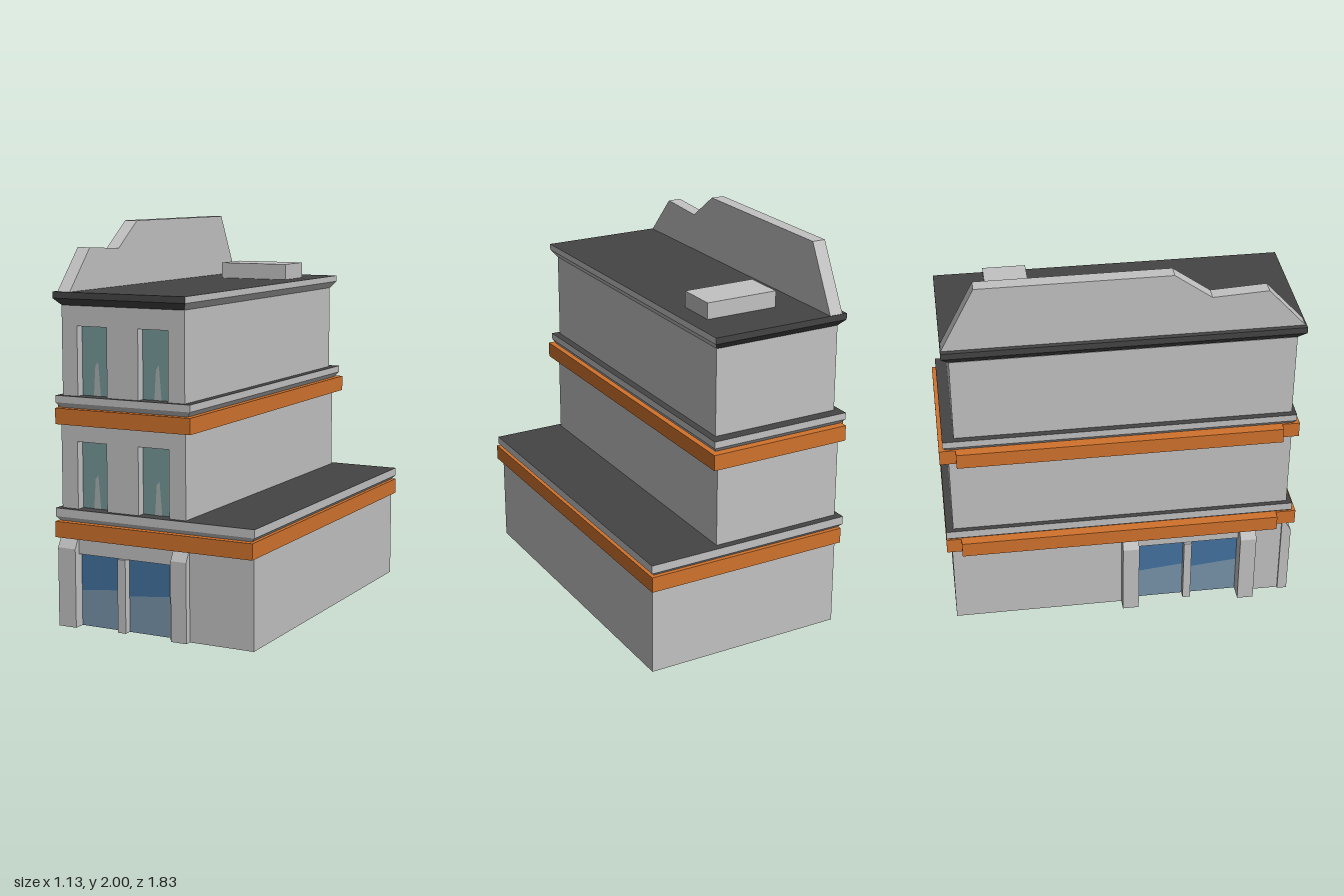
import * as THREE from 'three';

const mat = (name, color, side = THREE.FrontSide) => {
  const m = new THREE.MeshStandardMaterial({ color, side });
  m.name = name;
  return m;
};

export function createModel() {
  const wall = mat('wallGrey', 0xc2c2c2);
  const orange = mat('orangeTrim', 0xd0722c);
  const roof = mat('darkRoof', 0x444444);
  const teal = mat('tealGlass', 0x769799, THREE.DoubleSide);
  const blue = mat('blueGlass', 0x43729f, THREE.DoubleSide);
  const slate = mat('slateGlass', 0x7793a9, THREE.DoubleSide);
  const pale = mat('paleReflection', 0xa9b1b1, THREE.DoubleSide);

  const model = new THREE.Group();
  model.name = 'cornerBuilding';

  const add = (name, geo, material, parent = model) => {
    const mesh = new THREE.Mesh(geo, material);
    mesh.name = name;
    parent.add(mesh);
    return mesh;
  };

  const box = (name, m, x0, x1, y0, y1, z0, z1, parent = model) => {
    const mesh = add(name, new THREE.BoxGeometry(x1 - x0, y1 - y0, z1 - z0), m, parent);
    mesh.position.set((x0 + x1) / 2, (y0 + y1) / 2, (z0 + z1) / 2);
    return mesh;
  };

  const flat = (name, m, points, z, parent) => {
    const shape = new THREE.Shape(points.map(([x, y]) => new THREE.Vector2(x, y)));
    add(name, new THREE.ShapeGeometry(shape), m, parent).position.z = z;
  };

  // Stack of rectangular rings [y, x0, x1, z0, z1]; materials: front, right side (+x), back, -x side, top, bottom
  const stack = (name, rings, materials) => {
    const pos = [];
    const geo = new THREE.BufferGeometry();
    const loops = rings.map(([y, x0, x1, z0, z1]) =>
      [[x0, y, z1], [x1, y, z1], [x1, y, z0], [x0, y, z0]]);
    const quad = (a, b, c, d) => pos.push(...a, ...b, ...c, ...a, ...c, ...d);
    const face = (index, build) => {
      const start = pos.length / 3;
      build();
      geo.addGroup(start, pos.length / 3 - start, index);
    };
    for (let s = 0; s < 4; s++) {
      face(s, () => {
        for (let r = 0; r + 1 < loops.length; r++) {
          const lo = loops[r], hi = loops[r + 1], t = (s + 1) % 4;
          quad(lo[s], lo[t], hi[t], hi[s]);
        }
      });
    }
    const top = loops[loops.length - 1], low = loops[0];
    face(4, () => quad(...top));
    face(5, () => quad(low[3], low[2], low[1], low[0]));
    geo.setAttribute('position', new THREE.Float32BufferAttribute(pos, 3));
    geo.computeVertexNormals();
    return add(name, geo, materials);
  };
  const allWall = Array(6).fill(wall);
  const ledgeMats = [wall, wall, wall, wall, roof, wall];

  // Wall layer with floor-level openings, along local x and facing local +z
  const facade = (name, u0, u1, y0, y1, head, openings, z0, z1) => {
    const g = new THREE.Group();
    g.name = name;
    let u = u0;
    for (const [a, b] of openings) {
      box('wallPier', wall, u, a, y0, head, z0, z1, g);
      u = b;
    }
    box('wallPier', wall, u, u1, y0, head, z0, z1, g);
    box('wallLintel', wall, u0, u1, head, y1, z0, z1, g);
    model.add(g);
    return g;
  };

  // Two-tone shop glass with a slanted reflection line
  const shopGlass = (g, openings, z) => {
    for (const [a, b] of openings) {
      flat('shopGlassLower', slate, [[a, 0], [b, 0], [b, 0.205], [a, 0.18]], z, g);
      flat('shopGlassUpper', blue, [[a, 0.18], [b, 0.205], [b, 0.37], [a, 0.37]], z, g);
    }
  };

  // Ground floor: open-bottomed shell with shop windows on the front and -x side
  const frontShop = [[-0.42, -0.19], [-0.145, 0.095]];
  shopGlass(facade('shopFront', -0.51, 0.55, 0, 0.455, 0.37, frontShop, 0.835, 0.865), frontShop, 0.84);
  const sideShop = [[0.09, 0.33], [0.37, 0.62]];
  const side = facade('shopSide', -0.88, 0.835, 0, 0.455, 0.37, sideShop, 0.48, 0.51);
  shopGlass(side, sideShop, 0.485);
  side.rotation.y = -Math.PI / 2;
  box('groundBackWall', wall, -0.48, 0.55, 0, 0.455, -0.88, -0.86);
  box('groundRightWall', wall, 0.53, 0.55, 0, 0.455, -0.86, 0.835);

  // Pilasters with sloped tops, and slim mullions between panes
  for (const [a, b] of [[-0.52, -0.42], [0.12, 0.205]]) {
    stack('frontPilaster', [[0, a, b, 0.85, 0.9], [0.4, a, b, 0.85, 0.9], [0.455, a, b, 0.85, 0.87]], allWall);
  }
  for (const [a, b] of [[0, 0.085], [0.62, 0.705]]) {
    stack('sidePilaster', [[0, -0.57, -0.49, a, b], [0.4, -0.57, -0.49, a, b], [0.455, -0.535, -0.49, a, b]], allWall);
  }
  box('frontMullion', wall, -0.19, -0.145, 0, 0.37, 0.83, 0.88);
  box('sideMullion', wall, -0.525, -0.475, 0, 0.37, 0.33, 0.37);

  // Orange bands, each with a raised strip on the -x side
  for (const [y0, y1, x1, z0, z1] of [[0.455, 0.535, 0.565, -0.907, 0.915], [1.02, 1.1, 0.23, -0.912, 0.9]]) {
    box('orangeBand', orange, -0.525, x1, y0, y1, z0, z1);
    box('orangeSideStrip', orange, -0.567, -0.525, y0, y1, -0.83, 0.81);
  }

  // Ledges above the bands
  stack('lowerLedge', [[0.535, -0.515, 0.545, -0.885, 0.88], [0.555, -0.537, 0.565, -0.905, 0.89],
    [0.597, -0.537, 0.565, -0.905, 0.89]], ledgeMats);
  stack('middleLedge', [[1.1, -0.515, 0.2, -0.87, 0.865], [1.125, -0.535, 0.218, -0.893, 0.88],
    [1.16, -0.535, 0.218, -0.893, 0.88]], ledgeMats);

  // Upper floors with recessed tall windows
  const floors = [
    { y0: 0.597, y1: 1.02, head: 0.935, x0: -0.512, x1: 0.186, z0: -0.868, z1: 0.865, wins: [[-0.42, -0.253], [-0.075, 0.095]] },
    { y0: 1.16, y1: 1.605, head: 1.505, x0: -0.504, x1: 0.18, z0: -0.835, z1: 0.86, wins: [[-0.417, -0.25], [-0.075, 0.09]] },
  ];
  for (const f of floors) {
    const zi = f.z1 - 0.05;
    box('floorBody', wall, f.x0, f.x1, f.y0, f.y1, f.z0, zi);
    const g = facade('windowWall', f.x0, f.x1, f.y0, f.y1, f.head, f.wins, zi, f.z1);
    for (const [a, b] of f.wins) {
      const c = (a + b) / 2, y = f.y0;
      flat('windowGlass', teal, [[a, y], [b, y], [b, f.head], [a, f.head]], zi + 0.004, g);
      flat('windowReflection', pale, [[c - 0.018, y], [c + 0.022, y], [c + 0.008, y + 0.17], [c - 0.008, y + 0.15]], zi + 0.007, g);
    }
  }

  // Roof cornice
  stack('roofCornice', [[1.605, -0.502, 0.18, -0.838, 0.862], [1.64, -0.53, 0.206, -0.872, 0.9],
    [1.672, -0.53, 0.206, -0.872, 0.9]], [roof, wall, roof, roof, roof, wall]);

  // Stepped parapet along the -x side
  const profile = [[0.895, 1.67], [0.705, 1.88], [0.43, 1.865], [0.245, 2], [-0.7, 2], [-0.87, 1.67]];
  const parapetShape = new THREE.Shape(profile.map(([z, y]) => new THREE.Vector2(z, y)));
  const parapet = add('roofParapet', new THREE.ExtrudeGeometry(parapetShape, { depth: 0.07, bevelEnabled: false }), wall);
  parapet.rotation.y = -Math.PI / 2;
  parapet.position.x = -0.435;

  // Roof hatch
  box('roofHatch', wall, -0.28, 0.105, 1.67, 1.755, -0.625, -0.41);

  return model;
}
